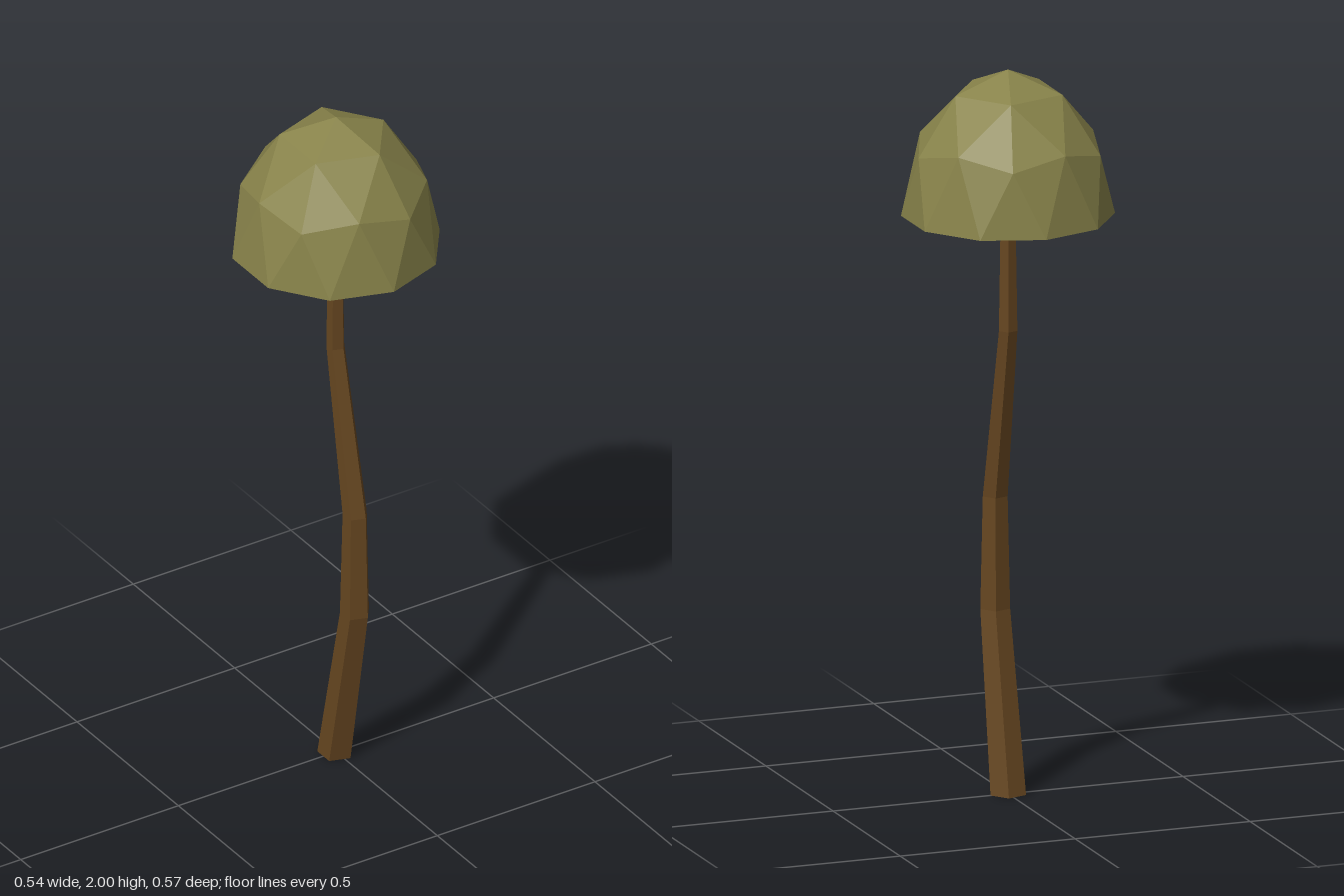
import * as THREE from 'three';

const BASE_Y = 1.6, CAP_R = 0.286, CAP_H = 0.4;

// Faceted dome: the upper half of a once-subdivided icosahedron, stretched upward
function domeGeometry() {
  const pos = [];
  const at = (r, y, deg) => {
    const a = THREE.MathUtils.degToRad(deg);
    return [CAP_R * r * Math.cos(a), BASE_Y + CAP_H * y, -CAP_R * r * Math.sin(a)];
  };
  const tri = (...corners) => corners.forEach((c) => pos.push(...c));
  const top = at(0, 1, 0);
  const inner = (d) => at(0.526, 0.851, d);
  const low = (d) => at(0.894, 0.447, d);
  const high = (d) => at(0.851, 0.526, d);
  const rim = (d) => at(1, 0, d);
  for (let d = 0; d < 360; d += 72) {
    const e = d + 72, m = d + 36;
    tri(top, inner(d), inner(e));
    tri(inner(d), high(m), inner(e));
    tri(inner(d), low(d), high(m));
    tri(inner(e), high(m), low(e));
    tri(low(d), rim(d - 18), rim(d + 18));
    tri(low(d), rim(d + 18), high(m));
    tri(high(m), rim(d + 18), rim(d + 54));
    tri(high(m), rim(d + 54), low(e));
  }
  const g = new THREE.BufferGeometry();
  g.setAttribute('position', new THREE.Float32BufferAttribute(pos, 3));
  g.computeVertexNormals();
  return g;
}

// Five-sided tapering trunk, bent by moving each ring of a cylinder
function trunkGeometry() {
  const rings = [ // height, z offset, radius
    [0, 0, 0.05],
    [0.49, 0.097, 0.042],
    [0.8, 0.097, 0.035],
    [1.28, 0, 0.026],
    [BASE_Y, 0, 0.021],
  ];
  const g = new THREE.CylinderGeometry(1, 1, rings.length - 1, 5, rings.length - 1)
    .rotateY(Math.PI / 2).toNonIndexed();
  const p = g.attributes.position;
  const half = (rings.length - 1) / 2;
  for (let i = 0; i < p.count; i++) {
    const [y, z, r] = rings[Math.round(p.getY(i) + half)];
    p.setXYZ(i, p.getX(i) * r, y, p.getZ(i) * r + z);
  }
  g.computeVertexNormals();
  return g;
}

export function createModel() {
  const model = new THREE.Group();
  model.name = 'tree';
  const add = (name, geometry, material) => {
    const mesh = new THREE.Mesh(geometry, material);
    mesh.name = name;
    model.add(mesh);
    return mesh;
  };
  const bark = new THREE.MeshStandardMaterial({ color: 0x664620, flatShading: true });
  const leaves = new THREE.MeshStandardMaterial({ color: 0x88834a, flatShading: true });

  add('trunk', trunkGeometry(), bark);
  add('crown', domeGeometry(), leaves);

  // Flat underside closing the crown
  const underside = new THREE.CircleGeometry(CAP_R, 10, Math.PI / 10)
    .rotateX(Math.PI / 2).translate(0, BASE_Y, 0);
  add('crownUnderside', underside, leaves);
  return model;
}
